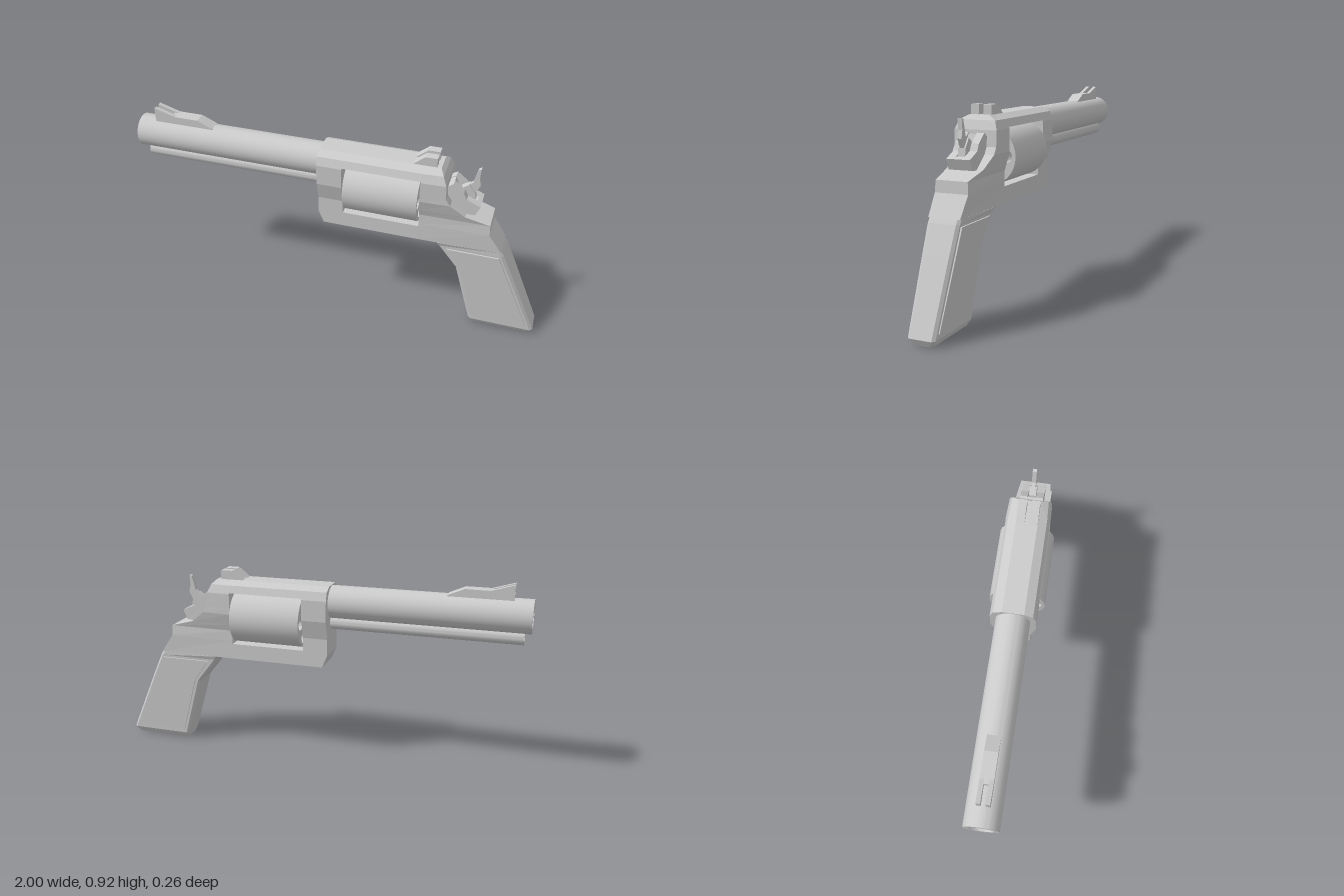
import * as THREE from 'three';
import { toCreasedNormals } from 'three/addons/utils/BufferGeometryUtils.js';

const material = new THREE.MeshStandardMaterial({ color: 0xcccccc });

// Solid lofted through horizontal layers [y, x0, x1, halfWidth0, halfWidth1]; c chamfers the corners
function loft(layers, c = 0) {
  const rings = layers.map(([y, x0, x1, w0, w1 = w0]) => {
    const half = c
      ? [[x0, w0 - c], [x0 + c, w0], [x1 - c, w1], [x1, w1 - c]]
      : [[x0, w0], [x1, w1]];
    return [...half, ...half.map(([x, z]) => [x, -z]).reverse()].map(([x, z]) => [x, y, z]);
  });
  const n = rings[0].length, top = rings[rings.length - 1], pos = [];
  const tri = (...p) => p.forEach((v) => pos.push(...v));
  for (let k = 0; k < rings.length - 1; k++) {
    for (let i = 0; i < n; i++) {
      const j = (i + 1) % n, lo = rings[k], up = rings[k + 1];
      tri(lo[i], lo[j], up[j]);
      tri(lo[i], up[j], up[i]);
    }
  }
  for (let i = 1; i < n - 1; i++) {
    tri(top[0], top[i], top[i + 1]);
    tri(rings[0][0], rings[0][i + 1], rings[0][i]);
  }
  const g = new THREE.BufferGeometry();
  g.setAttribute('position', new THREE.Float32BufferAttribute(pos, 3));
  g.computeVertexNormals();
  return g;
}

// Side profile extruded from z0 to z1
function plate(points, z0, z1) {
  const shape = new THREE.Shape(points.map(([x, y]) => new THREE.Vector2(x, y)));
  return new THREE.ExtrudeGeometry(shape, { depth: z1 - z0, bevelEnabled: false }).translate(0, 0, z0);
}

// Round bar along x with holes [offsetZ, offsetY, radius]
function bar(x0, x1, y, r, holes, segments = 12) {
  const shape = new THREE.Shape().absarc(0, 0, r, 0, Math.PI * 2);
  for (const [hz, hy, hr] of holes) {
    shape.holes.push(new THREE.Path().absarc(hz, hy, hr, 0, Math.PI * 2, true));
  }
  const g = new THREE.ExtrudeGeometry(shape, { depth: x1 - x0, bevelEnabled: false, curveSegments: segments });
  g.rotateY(Math.PI / 2).translate(x0, y, 0);
  return toCreasedNormals(g, 0.7);
}

export function createModel() {
  const model = new THREE.Group();
  const add = (name, geometry) => {
    const mesh = new THREE.Mesh(geometry, material);
    mesh.name = name;
    model.add(mesh);
  };

  // Barrel and the rod tube beneath it
  add('barrel', bar(-1, -0.07, 0.778, 0.078, [[0, 0, 0.055]], 24));
  add('rodTube', bar(-0.97, -0.07, 0.68, 0.035, [[0, 0, 0.022]], 16));

  // Frame: four sides around the cylinder window
  add('frameFront', loft([
    [0.47, -0.05, 0.045, 0.08], [0.53, -0.075, 0.045, 0.08], [0.61, -0.075, 0.045, 0.08],
    [0.70, -0.075, 0.045, 0.105], [0.80, -0.075, 0.045, 0.105],
    [0.84, -0.075, 0.045, 0.09], [0.86, -0.075, 0.045, 0.05],
  ]));
  add('topStrap', loft([
    [0.805, 0.045, 0.41, 0.103], [0.84, 0.045, 0.41, 0.09], [0.86, 0.045, 0.41, 0.05],
  ]));
  add('bottomStrap', loft([[0.47, 0.045, 0.41, 0.08], [0.545, 0.045, 0.41, 0.08]]));
  add('frameRear', loft([
    [0.47, 0.41, 0.80, 0.08, 0.073], [0.56, 0.41, 0.738, 0.08, 0.077], [0.612, 0.41, 0.735, 0.08, 0.074],
    [0.645, 0.41, 0.62, 0.09, 0.085], [0.70, 0.41, 0.55, 0.105, 0.1], [0.73, 0.41, 0.53, 0.105, 0.1],
    [0.80, 0.41, 0.525, 0.105, 0.1], [0.84, 0.41, 0.508, 0.09, 0.085], [0.86, 0.41, 0.49, 0.05],
  ]));

  // Rotating cylinder with six chambers, on its axle
  const chambers = [];
  for (let i = 0; i < 6; i++) {
    const a = (i * Math.PI) / 3;
    chambers.push([0.086 * Math.cos(a), 0.086 * Math.sin(a), 0.028]);
  }
  add('cylinder', bar(0.055, 0.403, 0.675, 0.13, chambers, 16));
  add('axle', bar(0.04, 0.415, 0.675, 0.025, []));

  // Grip core, then the raised side panels tapering towards the butt
  add('grip', loft([
    [0, 0.695, 0.985, 0.045], [0.028, 0.685, 1.0, 0.062],
    [0.33, 0.60, 0.868, 0.07], [0.45, 0.505, 0.813, 0.073], [0.47, 0.49, 0.80, 0.08, 0.073],
  ], 0.012));
  const panels = plate([[0.55, 0.44], [0.625, 0.335], [0.705, 0.05], [0.965, 0.05], [0.795, 0.44]], -1, 1);
  const p = panels.attributes.position;
  for (let i = 0; i < p.count; i++) {
    p.setZ(i, p.getZ(i) * (0.0655 + 0.033 * p.getY(i)));
  }
  panels.computeVertexNormals();
  add('gripPanels', panels);

  // Paired parts: sight blades and hammer housing walls
  for (const s of [1, -1]) {
    const side = s > 0 ? 'left' : 'right';
    const pair = (name, points, a, b) => add(side + name, plate(points, Math.min(s * a, s * b), Math.max(s * a, s * b)));
    pair('FrontSight', [[-0.915, 0.84], [-0.62, 0.84], [-0.62, 0.855], [-0.695, 0.888], [-0.81, 0.888], [-0.915, 0.92]], 0.011, 0.03);
    pair('RearSight', [[0.355, 0.855], [0.47, 0.855], [0.47, 0.903], [0.415, 0.903]], 0.01, 0.05);
    pair('HammerWall', [[0.51, 0.72], [0.60, 0.64], [0.66, 0.645], [0.68, 0.692], [0.615, 0.72], [0.60, 0.75], [0.55, 0.79], [0.51, 0.765]], 0.02, 0.055);
  }
  add('frontSightRamp', plate([[-0.83, 0.84], [-0.62, 0.84], [-0.62, 0.855], [-0.695, 0.888], [-0.83, 0.888]], -0.011, 0.011));
  add('hammerFloor', plate([[0.51, 0.70], [0.60, 0.64], [0.66, 0.645], [0.68, 0.692], [0.66, 0.70], [0.58, 0.70], [0.55, 0.785], [0.51, 0.765]], -0.02, 0.02));

  // Hammer with a thin curved spur
  add('hammer', plate([[0.57, 0.69], [0.65, 0.695], [0.645, 0.735], [0.615, 0.775], [0.58, 0.75]], -0.017, 0.017));
  add('hammerSpur', plate([[0.60, 0.72], [0.645, 0.735], [0.665, 0.775], [0.657, 0.81], [0.66, 0.86], [0.648, 0.855], [0.636, 0.81], [0.63, 0.785], [0.605, 0.765]], -0.01, 0.01));

  return model;
}
